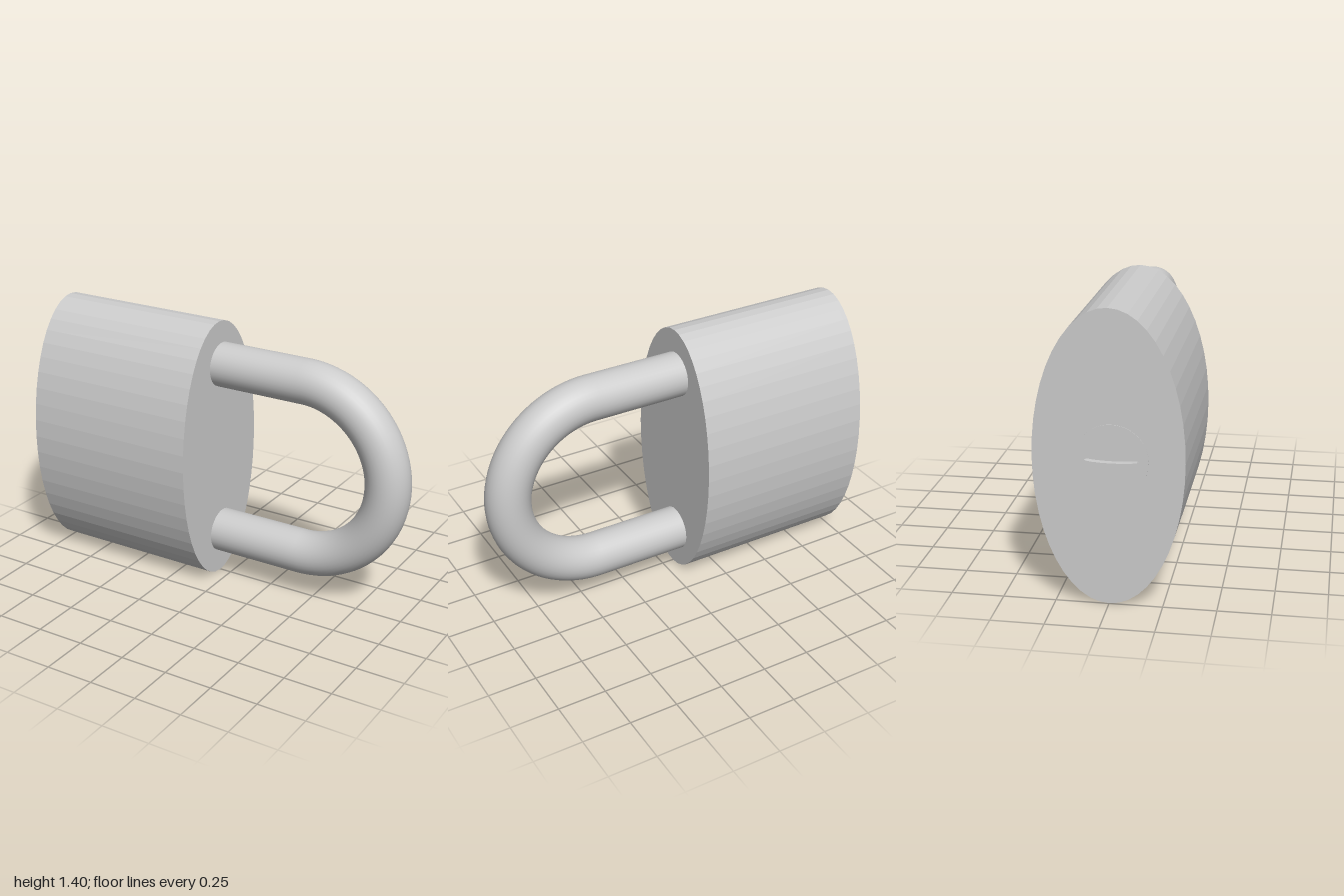
import * as THREE from 'three';

const material = new THREE.MeshStandardMaterial({ color: 0xcccccc });

// Closed outline of an ellipse in the plane of the end faces
function ellipse(rz, ry, cz, cy, sides) {
  const pts = [];
  for (let i = 0; i < sides; i++) {
    const a = (i / sides) * Math.PI * 2;
    pts.push(new THREE.Vector2(-cz + rz * Math.cos(a), cy + ry * Math.sin(a)));
  }
  return pts;
}

// Extrudes an outline along x, from x0 to x1
function slab(name, outline, x0, x1, hole) {
  const shape = new THREE.Shape(outline);
  if (hole) shape.holes.push(new THREE.Path(hole));
  const geo = new THREE.ExtrudeGeometry(shape, { depth: x1 - x0, bevelEnabled: false });
  geo.rotateY(Math.PI / 2).translate(x0, 0, 0);
  const mesh = new THREE.Mesh(geo, material);
  mesh.name = name;
  return mesh;
}

export function createModel() {
  const model = new THREE.Group();
  model.name = 'padlock';

  // Oval body, with a thin end plate that the key slot is cut into
  const midY = 0.7, lockZ = 0.015;
  const oval = ellipse(0.35, 0.7, 0, midY, 48);
  const slot = ellipse(0.125, 0.012, lockZ, midY, 16);
  model.add(slab('body', oval, -0.97, -0.065));
  model.add(slab('endPlate', oval, -0.997, -0.97, slot));
  model.add(slab('keyCylinder', ellipse(0.17, 0.17, lockZ, midY, 48), -1, -0.996, slot));

  // Shackle: two straight legs joined by a half ring
  const shackle = new THREE.Group();
  shackle.name = 'shackle';
  const tube = 0.115, bendR = 0.467, bendX = 1 - tube - bendR, startX = -0.12;
  const bend = new THREE.Mesh(
    new THREE.TorusGeometry(bendR, tube, 32, 48, Math.PI).rotateZ(-Math.PI / 2), material);
  bend.name = 'shackleBend';
  bend.position.x = bendX;
  shackle.add(bend);
  for (const side of [-1, 1]) {
    const leg = new THREE.Mesh(
      new THREE.CylinderGeometry(tube, tube, bendX - startX, 32, 1, true).rotateZ(-Math.PI / 2), material);
    leg.name = side > 0 ? 'upperLeg' : 'lowerLeg';
    leg.position.set((bendX + startX) / 2, side * bendR, 0);
    shackle.add(leg);
  }
  shackle.position.set(0, midY, -0.023);
  model.add(shackle);

  return model;
}
